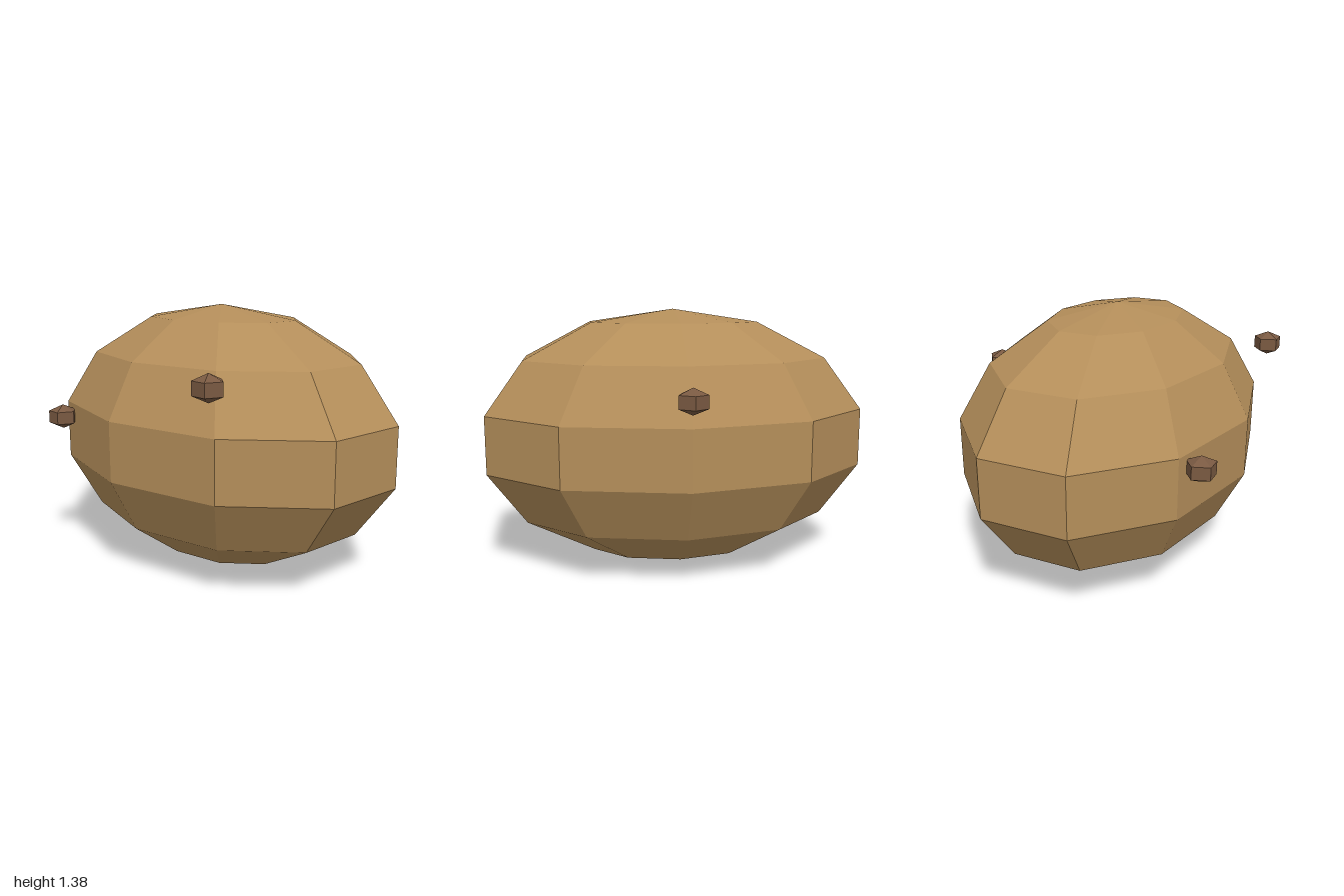
import * as THREE from 'three';

// Faceted ellipsoid with one row of corners pointing straight back
function lump(name, material, segments, rings, radii, position) {
  const geometry = new THREE.SphereGeometry(1, segments, rings, -Math.PI / 2);
  geometry.scale(...radii);
  const mesh = new THREE.Mesh(geometry, material);
  mesh.name = name;
  mesh.position.set(...position);
  return mesh;
}

export function createModel() {
  const skin = new THREE.MeshStandardMaterial({ color: 0xb48e5a, flatShading: true });
  skin.name = 'tan skin';
  const sprout = new THREE.MeshStandardMaterial({ color: 0x7a5a42, flatShading: true });
  sprout.name = 'brown bud';

  const group = new THREE.Group();
  group.name = 'potato';

  // Body
  group.add(lump('body', skin, 10, 7, [1.0785, 0.69, 0.752], [0, 0.69, 0.032]));

  // Small buds on the skin: two in front, one behind
  const buds = {
    budFrontRight: [-0.54, 0.78, 0.705],
    budFrontLeft: [0.645, 1.08, 0.68],
    budBack: [0, 0.972, -0.698],
  };
  for (const [name, position] of Object.entries(buds)) {
    group.add(lump(name, sprout, 5, 3, [0.086, 0.065, 0.086], position));
  }
  return group;
}
